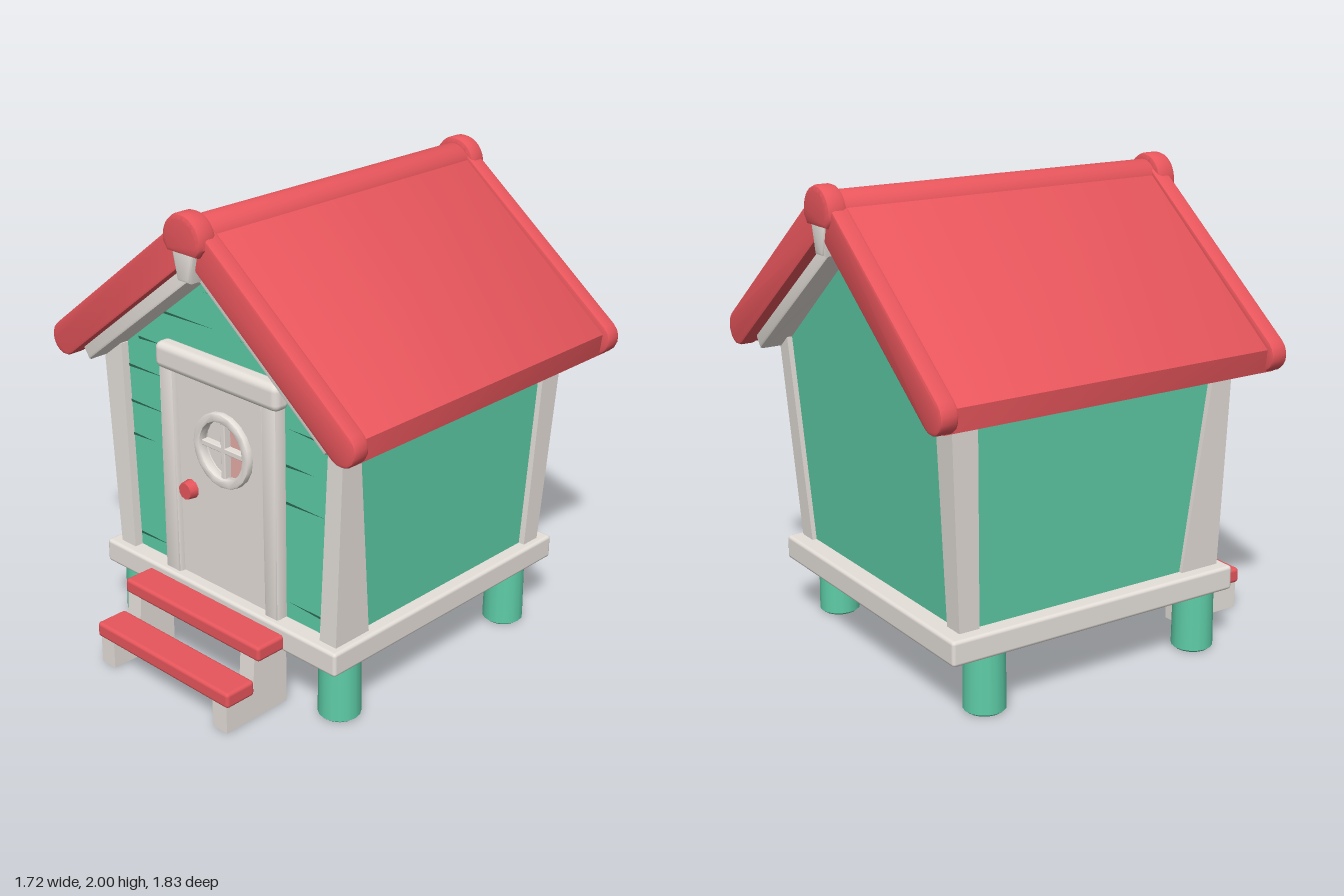
import * as THREE from 'three';
import { RoundedBoxGeometry } from 'three/addons/geometries/RoundedBoxGeometry.js';
import { toCreasedNormals } from 'three/addons/utils/BufferGeometryUtils.js';

const material = (name, color) => {
  const m = new THREE.MeshStandardMaterial({ color });
  m.name = name;
  return m;
};

export function createModel() {
  const house = new THREE.Group();
  house.name = 'cabin';
  const red = material('red paint', 0xea575d);
  const green = material('green paint', 0x5ecda7);
  const grey = material('pale grey wood', 0xe6e0da);
  const dark = material('dark green groove', 0x2c6a54);
  const pink = material('pink glass', 0xf0b4ae);
  dark.side = THREE.DoubleSide;

  const add = (name, geometry, mat, x = 0, y = 0, z = 0) => {
    const mesh = new THREE.Mesh(geometry, mat);
    mesh.name = name;
    mesh.position.set(x, y, z);
    house.add(mesh);
    return mesh;
  };
  // Softened box given by its limits
  const box = (name, mat, x0, x1, y0, y1, z0, z1, r = 0.015) =>
    add(name, new RoundedBoxGeometry(x1 - x0, y1 - y0, z1 - z0, 2, r), mat,
      (x0 + x1) / 2, (y0 + y1) / 2, (z0 + z1) / 2);
  // Outline in x and y, extruded from z0 to z1 with softened rims
  const slab = (name, mat, shape, z0, z1, bevel = 0.012) => {
    const g = new THREE.ExtrudeGeometry(shape, {
      depth: z1 - z0 - 2 * bevel, curveSegments: 10, bevelEnabled: bevel > 0,
      bevelThickness: bevel, bevelSize: bevel, bevelOffset: -bevel, bevelSegments: 2,
    });
    g.translate(0, 0, z0 + bevel);
    return add(name, toCreasedNormals(g, 0.6), mat);
  };
  const polygon = (points) => new THREE.Shape(points.map(([x, y]) => new THREE.Vector2(x, y)));

  // Floor platform and stilts
  box('platform', grey, -0.685, 0.685, 0.255, 0.36, -0.755, 0.62);
  for (const x of [-0.59, 0.59]) for (const z of [0.49, -0.555]) {
    add('stilt', new THREE.CylinderGeometry(0.085, 0.088, 0.26, 16), green, x, 0.14, z);
    add('stiltFoot', new THREE.CylinderGeometry(0.088, 0.076, 0.012, 16), green, x, 0.006, z);
  }

  // Walls, leaning outward toward the top
  const walls = slab('walls', green,
    polygon([[-0.612, 0.34], [0.625, 0.34], [0.665, 1.34], [0, 1.83], [-0.665, 1.34]]), -0.67, 0.54, 0);
  const wp = walls.geometry.attributes.position;
  for (let i = 0; i < wp.count; i++)
    if (wp.getZ(i) < 0) wp.setZ(i, -0.67 - 0.065 * (wp.getY(i) - 0.34));
  walls.geometry.computeVertexNormals();

  // Narrow wedge grooves between the planks of the front wall
  for (const [x0, x1, y] of [
    [-0.54, -0.34, 0.42], [-0.56, -0.42, 0.88], [-0.57, -0.34, 1.03], [-0.57, -0.34, 1.19],
    [-0.5, -0.36, 1.33], [-0.36, -0.05, 1.48], [0.24, -0.1, 1.62], [0.34, 0.1, 1.47],
    [0.6, 0.36, 1.185], [0.35, 0.5, 1.03], [0.35, 0.56, 0.87], [0.56, 0.36, 0.43],
  ]) add('plankGroove', new THREE.ShapeGeometry(
    polygon([[x0, y - 0.006], [x1, y + 0.004], [x0, y + 0.006]])), dark, 0, 0, 0.543);

  // Tapered corner posts: x and z limits at the bottom and at the top
  const post = (side, b, t) => {
    const g = new THREE.BoxGeometry(1, 1, 1).toNonIndexed();
    const p = g.attributes.position;
    for (let i = 0; i < p.count; i++) {
      const top = p.getY(i) > 0;
      const q = top ? t : b;
      const outer = p.getX(i) * side > 0;
      p.setXYZ(i, side * (outer ? q[1] : q[0]), top ? 1.29 : 0.34, p.getZ(i) > 0 ? q[3] : q[2]);
    }
    g.computeVertexNormals();
    add('cornerPost', g, grey);
  };
  for (const [side, bottom, top] of [[-1, [0.54, 0.628], [0.575, 0.69]], [1, [0.565, 0.653], [0.61, 0.685]]]) {
    post(side, [...bottom, 0.39, 0.58], [...top, 0.49, 0.575]);
    post(side, [...bottom, -0.69, -0.6], [...top, -0.755, -0.64]);
  }

  // Roof slopes, end trims and rafters; each is a bar along the pitch
  const pitch = Math.atan2(0.61, 0.79);
  const onPitch = (side, d, h) => [
    side * (d * Math.cos(pitch) + h * Math.sin(pitch)),
    1.9 - d * Math.sin(pitch) + h * Math.cos(pitch),
  ];
  const bar = (side, low, high, end) =>
    polygon([onPitch(side, 0, low), ...end, onPitch(side, 0, high)]);
  for (const side of [-1, 1]) {
    const roundEnd = [];
    for (let i = 0; i <= 8; i++) {
      const a = -Math.PI / 2 + (i * Math.PI) / 8;
      roundEnd.push(onPitch(side, 0.995 + 0.073 * Math.cos(a), 0.001 + 0.073 * Math.sin(a)));
    }
    const trim = bar(side, -0.072, 0.074, roundEnd);
    const eave = [[side * 0.77, 1.228], [side * 0.818, 1.224], [side * 0.83, 1.318]];
    const rafter = bar(side, -0.128, -0.05, [onPitch(side, 0.95, -0.128), onPitch(side, 0.95, -0.05)]);
    slab('roofSlope', red, bar(side, -0.063, 0.063, eave), -0.87, 0.68, 0.006);
    slab('roofTrimFront', red, trim, 0.63, 0.708);
    slab('roofTrimBack', red, trim, -0.902, -0.825);
    slab('rafterFront', grey, rafter, 0.52, 0.67);
    slab('rafterBack', grey, rafter, -0.85, -0.68);
  }

  // Ridge beam with domed end caps
  const dome = (r, cy, floor) => {
    const s = new THREE.Shape();
    s.moveTo(-r * 0.75, floor);
    s.lineTo(r * 0.75, floor);
    s.lineTo(r, floor + 0.035);
    s.absarc(0, cy, r, 0, Math.PI, false);
    s.lineTo(-r, floor + 0.035);
    return s;
  };
  slab('ridgeBeam', red, dome(0.085, 1.89, 1.85), -0.89, 0.7);
  slab('ridgeCapFront', red, dome(0.106, 1.894, 1.84), 0.645, 0.738, 0.02);
  slab('ridgeCapBack', red, dome(0.106, 1.894, 1.84), -0.916, -0.83, 0.02);
  // Wedge blocks under the ridge
  const key = polygon([[-0.035, 1.73], [0.035, 1.73], [0.065, 1.86], [-0.065, 1.86]]);
  slab('keyBlockFront', grey, key, 0.6, 0.728);
  slab('keyBlockBack', grey, key, -0.905, -0.78);

  // Door with a round opening, frame and knob
  const wx = 0.03, wy = 1.0;
  const door = polygon([[-0.25, 0.35], [0.29, 0.35], [0.29, 1.29], [-0.25, 1.29]]);
  const hole = new THREE.Path();
  hole.absarc(wx, wy, 0.125, 0, Math.PI * 2, true);
  door.holes.push(hole);
  slab('door', grey, door, 0.52, 0.565, 0);
  slab('jambRight', grey, polygon([[-0.325, 0.35], [-0.235, 0.35], [-0.245, 1.28], [-0.325, 1.28]]), 0.52, 0.593);
  slab('jambLeft', grey, polygon([[0.27, 0.35], [0.345, 0.35], [0.345, 1.28], [0.26, 1.28]]), 0.52, 0.593);
  box('doorHeader', grey, -0.34, 0.36, 1.262, 1.375, 0.52, 0.605, 0.03);
  const knob = add('doorKnob', new THREE.CylinderGeometry(0.036, 0.043, 0.05, 10), red, -0.175, 0.76, 0.58);
  knob.rotation.x = Math.PI / 2;

  // Round window: rim, crossbars and two half panes
  const rim = new THREE.Shape();
  rim.absarc(wx, wy, 0.16, 0, Math.PI * 2, false);
  const rimHole = new THREE.Path();
  rimHole.absarc(wx, wy, 0.122, 0, Math.PI * 2, true);
  rim.holes.push(rimHole);
  slab('windowRim', grey, rim, 0.55, 0.592, 0.008);
  box('windowBarUpright', grey, wx - 0.012, wx + 0.012, wy - 0.125, wy + 0.125, 0.54, 0.578, 0.004);
  box('windowBarLevel', grey, wx - 0.125, wx + 0.125, wy - 0.012, wy + 0.012, 0.54, 0.578, 0.004);
  add('paneRight', new THREE.CircleGeometry(0.126, 16, Math.PI / 2, Math.PI), grey, wx, wy, 0.546);
  add('paneLeft', new THREE.CircleGeometry(0.126, 16, -Math.PI / 2, Math.PI), pink, wx, wy, 0.546);

  // Front steps: stringers drawn in z and y, turned to face sideways
  const stringer = polygon([[0.58, 0], [0.91, 0], [0.91, 0.13], [0.765, 0.13], [0.755, 0.275], [0.58, 0.275]]);
  for (const x of [-0.385, 0.3]) {
    const g = new THREE.ExtrudeGeometry(stringer, { depth: 0.08, bevelEnabled: false });
    g.rotateY(-Math.PI / 2);
    g.translate(x + 0.08, 0, 0);
    add('stepStringer', g, grey);
  }
  box('stepCrossBoard', grey, -0.31, 0.31, 0.2, 0.265, 0.59, 0.63, 0.008);
  box('lowerStep', red, -0.4, 0.395, 0.12, 0.187, 0.77, 0.918);
  box('upperStep', red, -0.4, 0.405, 0.264, 0.33, 0.61, 0.758);

  return house;
}
